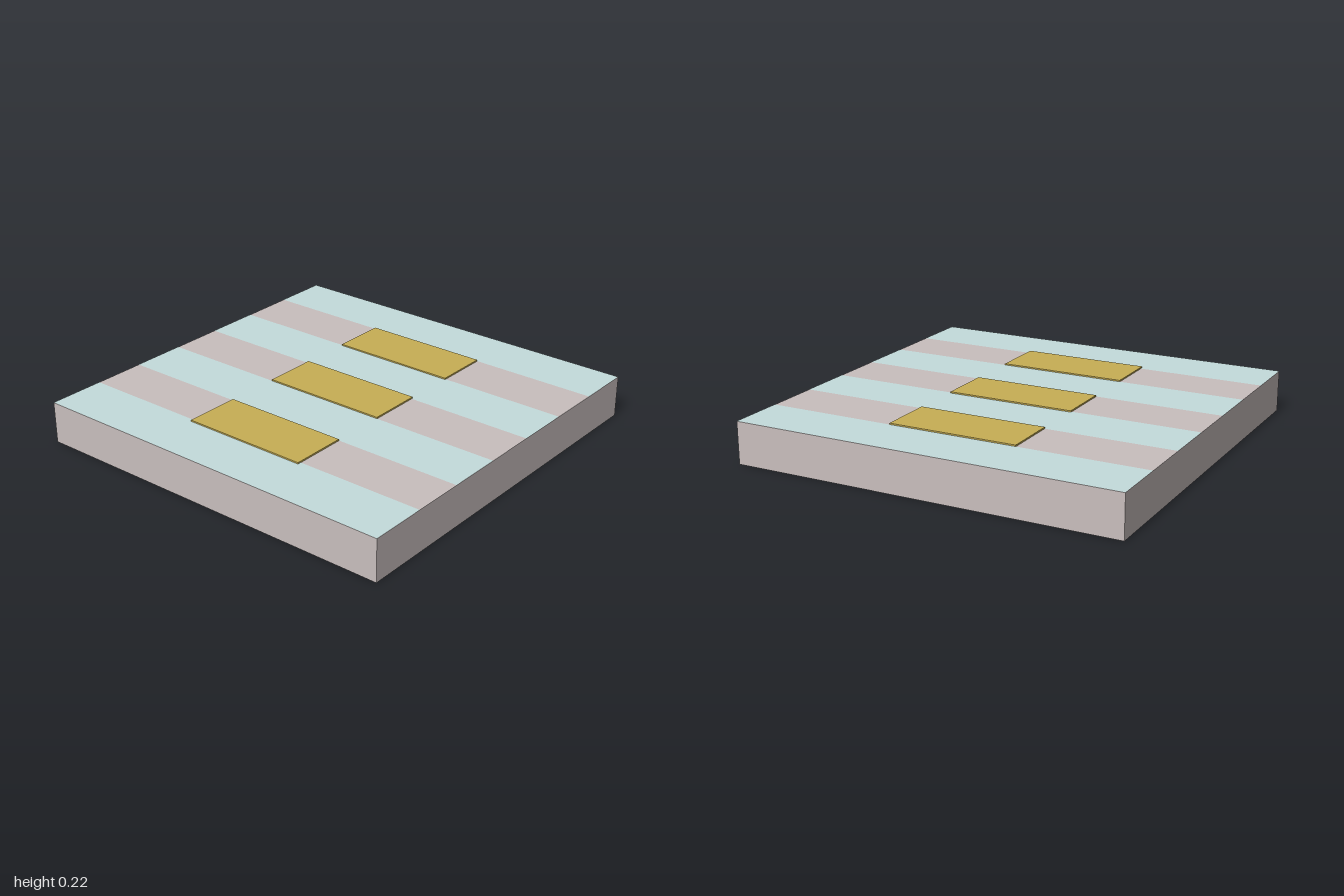
import * as THREE from 'three';

const TOP = 0.217; // height of the slab surface

const paint = (color) => new THREE.MeshStandardMaterial({ color });

export function createModel() {
  const model = new THREE.Group();
  const slabPaint = paint(0xc9bfbe);
  const bandPaint = paint(0xc4dcdc);
  const platePaint = paint(0xc8af55);

  function add(name, geometry, material, y, z) {
    const mesh = new THREE.Mesh(geometry, material);
    mesh.name = name;
    mesh.position.set(0, y, z);
    model.add(mesh);
  }

  // Square base slab
  add('slab', new THREE.BoxGeometry(2, TOP - 0.001, 2), slabPaint, (TOP - 0.001) / 2, 0);

  // Pale bands on the top surface, leaving three bare stripes between them
  const bands = [[-1, -0.708], [-0.425, -0.136], [0.142, 0.43], [0.703, 1]];
  for (const [back, front] of bands) {
    const band = new THREE.PlaneGeometry(2, front - back).rotateX(-Math.PI / 2);
    add('surfaceBand', band, bandPaint, TOP, (back + front) / 2);
  }

  // Thin golden plates, one across the middle of each bare stripe
  const plates = [[-0.708, -0.42], [-0.145, 0.142], [0.43, 0.722]];
  const bottom = TOP - 0.002, height = 0.009;
  for (const [back, front] of plates) {
    const plate = new THREE.BoxGeometry(0.67, height, front - back);
    add('contactPlate', plate, platePaint, bottom + height / 2, (back + front) / 2);
  }

  return model;
}
